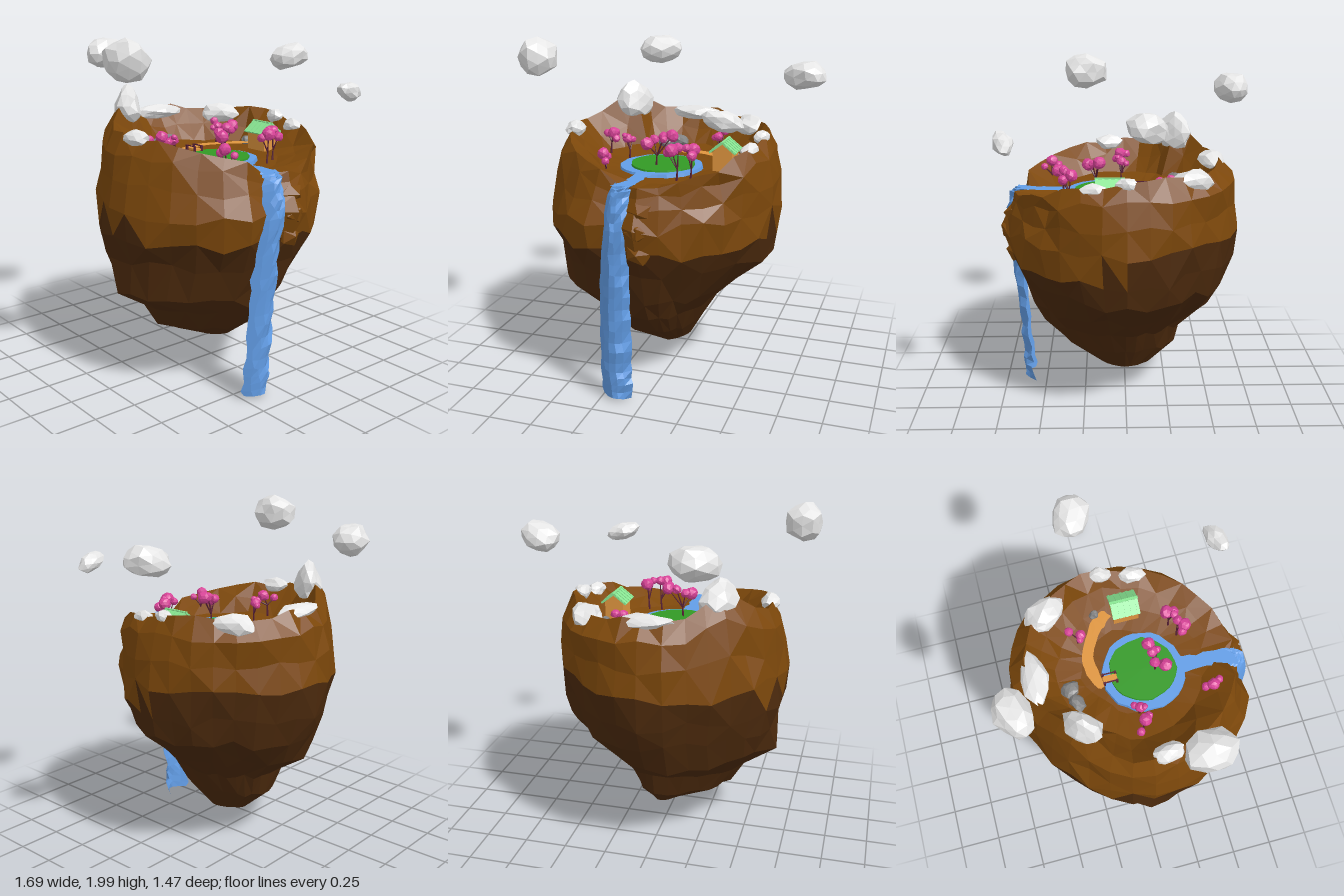
import * as THREE from 'three';

const mat = (name, color, side = THREE.FrontSide) => {
  const m = new THREE.MeshStandardMaterial({ color, flatShading: true, side });
  m.name = name;
  return m;
};

// Repeatable noise from a position, in -1..1
const noise = (x, y, z) => {
  const r = (v) => Math.round(v * 1000) / 1000 + 0;
  const s = Math.sin(r(x) * 127.1 + r(y) * 311.7 + r(z) * 74.7) * 43758.5453;
  return (s - Math.floor(s)) * 2 - 1;
};

export function createModel() {
  const root = new THREE.Group();
  const M = {
    earth: mat('earth', 0x7d480b),
    darkEarth: mat('dark earth', 0x4c2a0d),
    water: mat('water', 0x64a0ea, THREE.DoubleSide),
    grass: mat('grass', 0x339a25),
    path: mat('path and timber', 0xe0963f, THREE.DoubleSide),
    roof: mat('roof', 0x8ae894),
    paleRock: mat('pale rock', 0xe6e6e6),
    greyRock: mat('grey rock', 0x858585),
    blossom: mat('blossom', 0xd84398),
    bark: mat('bark', 0x5a2238),
  };
  const add = (name, geo, material, x = 0, y = 0, z = 0, parent = root) => {
    const mesh = new THREE.Mesh(geo, material);
    mesh.name = name;
    mesh.position.set(x, y, z);
    parent.add(mesh);
    return mesh;
  };
  const geoFrom = (positions) => {
    const g = new THREE.BufferGeometry();
    g.setAttribute('position', new THREE.Float32BufferAttribute(positions, 3));
    g.computeVertexNormals();
    return g;
  };

  // ---- Island: rings from the bottom tip up to the rim and down into the bowl
  const SEG = 32, FLOOR = 1.262;
  const rimKeys = [1.47, 1.45, 1.37, 1.31, 1.30, 1.35, 1.42, 1.47,
    1.46, 1.49, 1.63, 1.5, 1.50, 1.49, 1.48, 1.48];
  const rimY = (j) => {
    if (j === 9) return 1.275; // spillway for the stream
    const k = ((j % SEG) / SEG) * 16, i = Math.floor(k);
    return THREE.MathUtils.lerp(rimKeys[i], rimKeys[(i + 1) % 16], k - i);
  };
  // Height, then reach toward +x, -x, +z, -z
  const outer = [
    [0.17, 0, 0, 0, 0], [0.2, 0.1, 0.12, 0.15, 0.15], [0.33, 0.18, 0.4, 0.35, 0.3],
    [0.47, 0.26, 0.5, 0.49, 0.34], [0.6, 0.38, 0.66, 0.54, 0.5], [0.78, 0.59, 0.66, 0.62, 0.59],
    [0.92, 0.63, 0.7, 0.69, 0.63], [1.08, 0.64, 0.72, 0.71, 0.66],
  ];
  // Share of the way from 1.08 to the rim, then the reaches
  const upper = [[0.4, 0.63, 0.69, 0.68, 0.65], [0.75, 0.59, 0.66, 0.65, 0.62], [1, 0.53, 0.61, 0.63, 0.54]];
  // Share of the rim reach, then share of the rim height above the floor
  const inner = [[0.86, 0.55], [0.72, 0.16], [0.45, 0.02], [0, 0]];
  // Flattening of the diagonals, one per quarter turn
  const diagonals = [0.08, -0.02, 0.05, 0.07];
  const ringPoint = (e, y, j, jitter, k = 1) => {
    const a = (j / SEG) * Math.PI * 2, c = Math.cos(a), s = Math.sin(a);
    let f = k * (1 + jitter * noise(j, y, 3));
    const flat = diagonals[Math.floor(j / 8)] + (y < 0.55 ? 0.05 : 0);
    if (y < 1.3) f *= 1 - flat * Math.abs(Math.sin(2 * a));
    if (y > 0.85 && j === 9) f *= 0.93;
    if (y > 0.85 && j === 8) f *= 1.02;
    return [c * (c > 0 ? e[1] : e[2]) * f, y, s * (s > 0 ? e[3] : e[4]) * f];
  };
  const peak = (j) => 1 - 0.14 * Math.max(0, 1 - Math.abs(j - 20) / 3);
  const ring = (fn) => Array.from({ length: SEG }, (_, j) => fn(j));
  const rings = [
    ...outer.map((e, i) => ring((j) => {
      const p = ringPoint(e, e[0], j, i < 4 ? 0.02 : 0.032);
      if (i > 1) p[1] += (i < 4 ? 0.014 : 0.035) * noise(j, i, 1);
      return p;
    })),
    ...upper.map((e) => ring((j) => {
      const y = THREE.MathUtils.lerp(1.08, rimY(j), e[0]);
      const p = ringPoint(e, y, j, 0.022, 1 + (peak(j) - 1) * e[0]);
      if (j !== 9) p[1] += 0.02 * noise(j, e[0], 5);
      return p;
    })),
    ...inner.map(([k, h]) => ring((j) => {
      const p = ringPoint(upper[2], FLOOR + h * (rimY(j) - FLOOR), j, 0.03, k * peak(j));
      p[1] += 0.04 * h * noise(j, k, 2);
      return p;
    })),
  ];
  const soil = { earth: [], darkEarth: [] };
  for (let i = 0; i < rings.length - 1; i++) {
    for (let j = 0; j < SEG; j++) {
      const n = (j + 1) % SEG;
      const [a, b, c, d] = [rings[i][j], rings[i][n], rings[i + 1][n], rings[i + 1][j]];
      for (const t of (i + j) % 2 ? [[a, d, b], [b, d, c]] : [[a, d, c], [a, c, b]]) {
        const mid = (t[0][1] + t[1][1] + t[2][1]) / 3;
        const edge = 1.0 - 0.09 * Math.sin((j / SEG) * Math.PI * 2);
        soil[mid > edge ? 'earth' : 'darkEarth'].push(...t.flat());
      }
    }
  }
  add('islandTop', geoFrom(soil.earth), M.earth);
  add('islandUnderside', geoFrom(soil.darkEarth), M.darkEarth);

  // ---- Rocks: dented icosahedra, optionally narrowing upward
  const rock = (name, material, [x, y, z], [sx, sy, sz], turn = 0, dent = 0.16, taper = 0, detail = 1) => {
    const g = new THREE.IcosahedronGeometry(1, detail);
    const p = g.attributes.position;
    for (let i = 0; i < p.count; i++) {
      const v = new THREE.Vector3().fromBufferAttribute(p, i);
      v.multiplyScalar(1 + dent * noise(v.x + x, v.y + y, v.z + z));
      const t = 1 - taper * v.y;
      p.setXYZ(i, v.x * sx * t, v.y * sy, v.z * sz * t);
    }
    g.computeVertexNormals();
    const m = add(name, g, material, x, y, z);
    m.rotation.y = turn;
    return m;
  };
  rock('floatingRock', M.paleRock, [-0.74, 1.89, 0.235], [0.107, 0.108, 0.14], 0, 0.12);
  rock('floatingRock', M.paleRock, [-0.3, 1.845, -0.64], [0.135, 0.092, 0.095], 0.3, 0.12);
  rock('floatingRock', M.paleRock, [0.72, 1.8, -0.1], [0.13, 0.08, 0.1], -0.5, 0.12).rotation.z = 0.2;
  rock('floatingRock', M.paleRock, [0.455, 1.675, 0.645], [0.1, 0.05, 0.055], 0.3, 0.14).rotation.z = -0.3;

  // Pale boulders capping the rim
  rock('peakRock', M.paleRock, [-0.37, 1.575, -0.31], [0.115, 0.115, 0.075], 0.75, 0.14, 0.4);
  rock('rimRock', M.paleRock, [-0.01, 1.475, -0.5], [0.16, 0.04, 0.075]);
  rock('rimRock', M.paleRock, [0.36, 1.44, -0.36], [0.085, 0.06, 0.13], 0.55);
  rock('rimRock', M.paleRock, [0.51, 1.455, 0], [0.045, 0.04, 0.06], -0.3);
  rock('rimRock', M.paleRock, [0.48, 1.42, 0.18], [0.045, 0.04, 0.075], -0.2);
  rock('rimRock', M.paleRock, [-0.59, 1.455, 0.09], [0.055, 0.045, 0.09], 0.2);
  // Grey stones in the bowl
  rock('bowlStone', M.greyRock, [-0.15, 1.32, -0.3], [0.055, 0.04, 0.04], 0.5);
  rock('bowlStone', M.greyRock, [-0.07, 1.33, -0.32], [0.045, 0.035, 0.055], 0.6);
  rock('bowlStone', M.greyRock, [-0.47, 1.33, 0.27], [0.025, 0.035, 0.035]);
  rock('bowlStone', M.greyRock, [0.345, 1.31, -0.08], [0.025, 0.03, 0.028]);
  // Jagged spurs beside the waterfall
  [[1.17, 0.625], [1.06, 0.645], [0.94, 0.63]].forEach(([y, z]) =>
    rock('cliffSpur', M.earth, [0.01, y, z], [0.08, 0.07, 0.095], y * 9, 0.1, 0, 0));

  // ---- Ribbons laid along rows of x, y, z, half width; the middle may bulge along z
  const ribbon = (rows, across, bulge, sideways, wobble) => {
    const g = new THREE.PlaneGeometry(1, 1, across, rows.length - 1), p = g.attributes.position;
    rows.forEach(([x, y, z, w], i) => {
      const q = rows[Math.max(0, i - 1)], r = rows[Math.min(rows.length - 1, i + 1)];
      const dir = sideways ? new THREE.Vector2(1, 0)
        : new THREE.Vector2(-(r[2] - q[2]), r[0] - q[0]).normalize();
      for (let k = 0; k <= across; k++) {
        const t = (k / across) * 2 - 1, n = wobble * noise(i, k, 7);
        p.setXYZ(i * (across + 1) + k, x + dir.x * t * w + n,
          y + n * bulge * 20, z + dir.y * t * w - bulge * t * t + n * (bulge ? 1 : 0.3));
      }
    });
    g.computeVertexNormals();
    return g;
  };
  const resample = (keys, n) => {
    const c = new THREE.CatmullRomCurve3(keys.map((k) => new THREE.Vector3(k[0], k[1], k[2])));
    return Array.from({ length: n + 1 }, (_, i) => {
      const u = (i / n) * (keys.length - 1), k = Math.min(keys.length - 2, Math.floor(u));
      const v = c.getPoint(i / n);
      return [v.x, v.y, v.z, THREE.MathUtils.lerp(keys[k][3], keys[k + 1][3], u - k)];
    });
  };
  add('stream', ribbon(resample([[-0.07, 1.286, 0.3, 0.055], [-0.075, 1.288, 0.42, 0.04],
    [-0.08, 1.29, 0.54, 0.045], [-0.1, 1.29, 0.64, 0.05]], 9), 3, 0, true, 0.006), M.water);
  add('waterfall', ribbon(resample([[-0.1, 1.29, 0.63, 0.05], [-0.105, 1.26, 0.68, 0.058],
    [-0.12, 1.08, 0.71, 0.07], [-0.14, 0.8, 0.685, 0.085], [-0.155, 0.5, 0.66, 0.092],
    [-0.16, 0.22, 0.645, 0.095], [-0.16, 0.025, 0.63, 0.088]], 26), 5, 0.055, true, 0.01), M.water);
  add('footpath', ribbon(resample([[-0.095, 1.3, -0.15, 0.02], [0.0, 1.3, -0.175, 0.035],
    [0.1, 1.3, -0.18, 0.032], [0.21, 1.302, -0.13, 0.032], [0.3, 1.306, -0.06, 0.04], [0.335, 1.308, 0.0, 0.03]], 14),
    2, 0, false, 0.01), M.path);

  // ---- Pond with a grassy islet
  const disc = (r, h, wobble) => {
    const g = new THREE.CylinderGeometry(r, r * 1.04, h, 28), p = g.attributes.position;
    for (let i = 0; i < p.count; i++) {
      const x = p.getX(i), z = p.getZ(i);
      if (Math.hypot(x, z) < 0.01) continue;
      const f = 1 + wobble * noise(Math.round(Math.atan2(z, x) * 4.456), 1, r);
      p.setX(i, x * f);
      p.setZ(i, z * f);
    }
    return g;
  };
  add('pond', disc(0.232, 0.04, 0.03), M.water, -0.05, 1.265, 0.105);
  add('islet', disc(0.187, 0.04, 0.035), M.grass, -0.04, 1.275, 0.105);

  // ---- Footbridge
  const bridge = new THREE.Group();
  bridge.name = 'footbridge';
  bridge.position.set(-0.055, 1.3, -0.09);
  root.add(bridge);
  add('deck', new THREE.BoxGeometry(0.04, 0.012, 0.08), M.path, 0, 0.004, 0, bridge);
  for (const x of [-0.025, 0.025]) {
    add('handrail', new THREE.BoxGeometry(0.006, 0.006, 0.08), M.bark, x, 0.025, 0, bridge);
    for (const z of [-0.036, 0.036]) add('post', new THREE.BoxGeometry(0.012, 0.035, 0.012), M.bark, x, 0.01, z, bridge);
  }

  // ---- Cottage: gabled walls and a ribbed roof
  const house = new THREE.Group();
  house.name = 'cottage';
  house.position.set(0.325, 1.285, 0.09);
  root.add(house);
  const gable = new THREE.Shape([[-0.055, 0], [0.055, 0], [0.055, 0.11], [0, 0.155], [-0.055, 0.11]]
    .map(([x, y]) => new THREE.Vector2(x, y)));
  add('walls', new THREE.ExtrudeGeometry(gable, { depth: 0.145, bevelEnabled: false }), M.path, 0, 0, -0.07, house);
  for (const s of [-1, 1]) {
    const slope = add('roofSlope', new THREE.BoxGeometry(0.095, 0.008, 0.16), M.roof, s * 0.037, 0.132, 0, house);
    slope.rotation.z = -s * 0.66;
    for (let i = 0; i < 5; i++) add('roofRib', new THREE.BoxGeometry(0.095, 0.005, 0.014), M.roof, 0, 0.005, -0.07 + i * 0.035, slope);
  }
  add('roofRidge', new THREE.BoxGeometry(0.014, 0.01, 0.165), M.roof, 0, 0.163, 0, house);

  // ---- Blossom trees: trunk, branches and puffs given as x, y, z, radius
  const limb = (a, b, r, parent) => {
    const d = b.clone().sub(a);
    const m = add('branch', new THREE.CylinderGeometry(r * 0.6, r, d.length(), 5), M.bark, 0, 0, 0, parent);
    m.position.copy(a).addScaledVector(d, 0.5);
    m.quaternion.setFromUnitVectors(new THREE.Vector3(0, 1, 0), d.normalize());
  };
  const trees = [
    [-0.4, 1.3, 0.01, [[-0.43, 1.415, -0.015, 0.024], [-0.375, 1.43, 0.025, 0.036], [-0.35, 1.4, 0.05, 0.024]]],
    [-0.28, 1.26, 0.02, [[-0.29, 1.4, 0.02, 0.03], [-0.27, 1.39, -0.01, 0.02], [-0.3, 1.42, 0.04, 0.018]]],
    [-0.26, 1.26, 0.44, [[-0.27, 1.41, 0.44, 0.034], [-0.265, 1.385, 0.4, 0.025], [-0.24, 1.38, 0.485, 0.022]]],
    [-0.06, 1.28, 0.17, [[-0.1, 1.425, 0.215, 0.038], [-0.075, 1.44, 0.16, 0.029], [-0.02, 1.46, 0.16, 0.03], [0.03, 1.465, 0.15, 0.037], [-0.01, 1.45, 0.19, 0.022]]],
    [0.12, 1.26, 0.35, [[0.1, 1.44, 0.38, 0.038], [0.07, 1.42, 0.36, 0.026], [0.13, 1.45, 0.35, 0.028]]],
    [0.19, 1.26, 0.32, [[0.2, 1.435, 0.305, 0.038], [0.205, 1.41, 0.35, 0.029], [0.17, 1.45, 0.34, 0.024]]],
    [0.21, 1.27, -0.21, [[0.205, 1.4, -0.19, 0.028], [0.23, 1.42, -0.25, 0.026], [0.18, 1.39, -0.2, 0.02]]],
  ];
  for (const [x, y, z, puffs] of trees) {
    const tree = new THREE.Group();
    tree.name = 'blossomTree';
    root.add(tree);
    const base = new THREE.Vector3(x, y, z), fork = new THREE.Vector3(x + 0.005, y + 0.07, z);
    limb(base, fork, 0.007, tree);
    for (const [px, py, pz, r] of puffs) {
      limb(fork, new THREE.Vector3(px, py, pz), 0.0045, tree);
      tree.add(rock('blossomPuff', M.blossom, [px, py, pz], [r, r * 0.95, r], px * 20, 0.1));
    }
  }
  return root;
}
